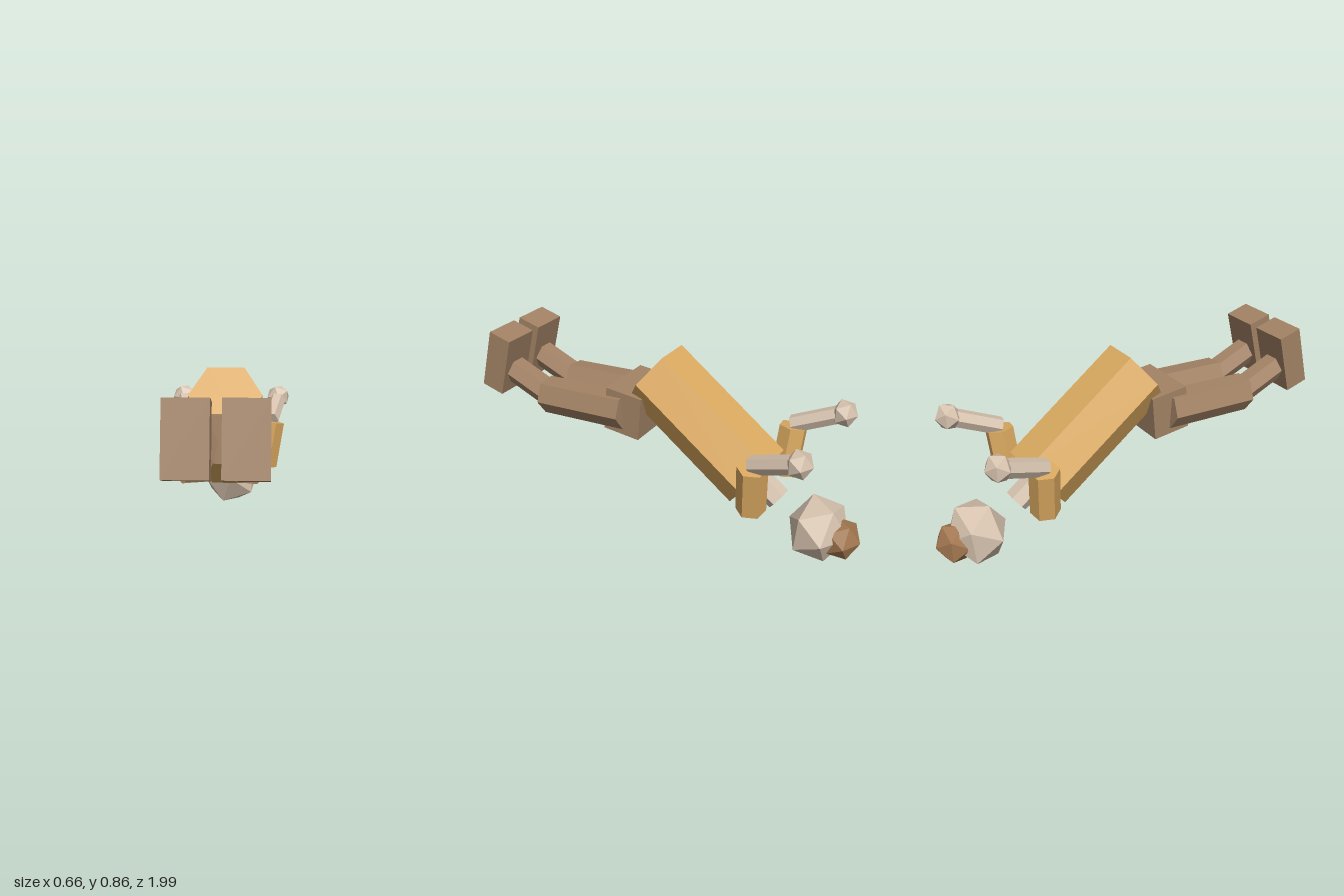
import * as THREE from 'three';

const mat = (name, color) => {
  const m = new THREE.MeshStandardMaterial({ color, flatShading: true });
  m.name = name;
  return m;
};

export function createModel() {
  const gold = mat('gold', 0xdaa960);
  const brown = mat('brown', 0xa28265);
  const skin = mat('skin', 0xd6c2ae);
  const hair = mat('hair', 0xa27750);
  const model = new THREE.Group();
  model.name = 'figure';

  const add = (name, geometry, material) => {
    const mesh = new THREE.Mesh(geometry, material);
    mesh.name = name;
    model.add(mesh);
    return mesh;
  };

  // Six-sided limb between two points, with corners pointing sideways, rolled about its axis
  const prism = (name, a, b, radius, material, roll = 0) => {
    const from = new THREE.Vector3(...a), to = new THREE.Vector3(...b);
    const y = to.clone().sub(from);
    const length = y.length();
    y.normalize();
    const x = new THREE.Vector3(1, 0, 0);
    x.addScaledVector(y, -x.dot(y)).normalize();
    const z = x.clone().cross(y);
    const g = new THREE.CylinderGeometry(radius, radius, length, 6);
    g.rotateY(Math.PI / 6 + THREE.MathUtils.degToRad(roll));
    g.applyMatrix4(new THREE.Matrix4().makeBasis(x, y, z));
    const mesh = add(name, g, material);
    mesh.position.copy(from.add(to).multiplyScalar(0.5));
  };

  // Faceted ball with one corner pointing forward
  const ball = (name, p, radius, depth, tilt, material) => {
    const g = new THREE.IcosahedronGeometry(radius, 0);
    g.rotateX(Math.atan(2 / (1 + Math.sqrt(5))));
    g.rotateZ(-Math.PI / 2);
    g.scale(1, 1, depth);
    g.rotateX(tilt);
    add(name, g, material).position.set(...p);
  };

  const box = (name, size, p, tilt, material) => {
    const mesh = add(name, new THREE.BoxGeometry(...size), material);
    mesh.position.set(...p);
    mesh.rotation.x = tilt;
  };

  // Trunk and head
  prism('torso', [0, 0.742, 0.083], [0, 0.33, -0.468], 0.177, gold);
  prism('neck', [0, 0.345, -0.448], [0, 0.241, -0.587], 0.06, skin);
  ball('head', [0, 0.15, -0.794], 0.163, 0.9, -0.09, skin);
  ball('hairBun', [0, 0.13, -0.907], 0.102, 0.88, 0, hair);
  box('pelvis', [0.305, 0.22, 0.193], [0, 0.556, 0.179], -0.095, brown);

  // Arms and legs, mirrored
  for (const s of [1, -1]) {
    const side = s > 0 ? 'left' : 'right';
    prism(side + 'UpperArm', [s * 0.189, 0.274, -0.531], [s * 0.228, 0.515, -0.546], 0.07, gold, -9 * s);
    prism(side + 'Forearm', [s * 0.223, 0.525, -0.54], [s * 0.27, 0.62, -0.772], 0.044, skin);
    ball(side + 'Hand', [s * 0.268, 0.622, -0.776], 0.068, 0.92, 0, skin);

    prism(side + 'Thigh', [s * 0.117, 0.56, 0.18], [s * 0.117, 0.533, 0.648], 0.093, brown, -5 * s);
    prism(side + 'Shin', [s * 0.115, 0.538, 0.642], [s * 0.115, 0.632, 0.87], 0.068, brown);
    box(side + 'Foot', [0.185, 0.31, 0.123], [s * 0.115, 0.68, 0.896], -0.262, brown);
  }
  return model;
}
